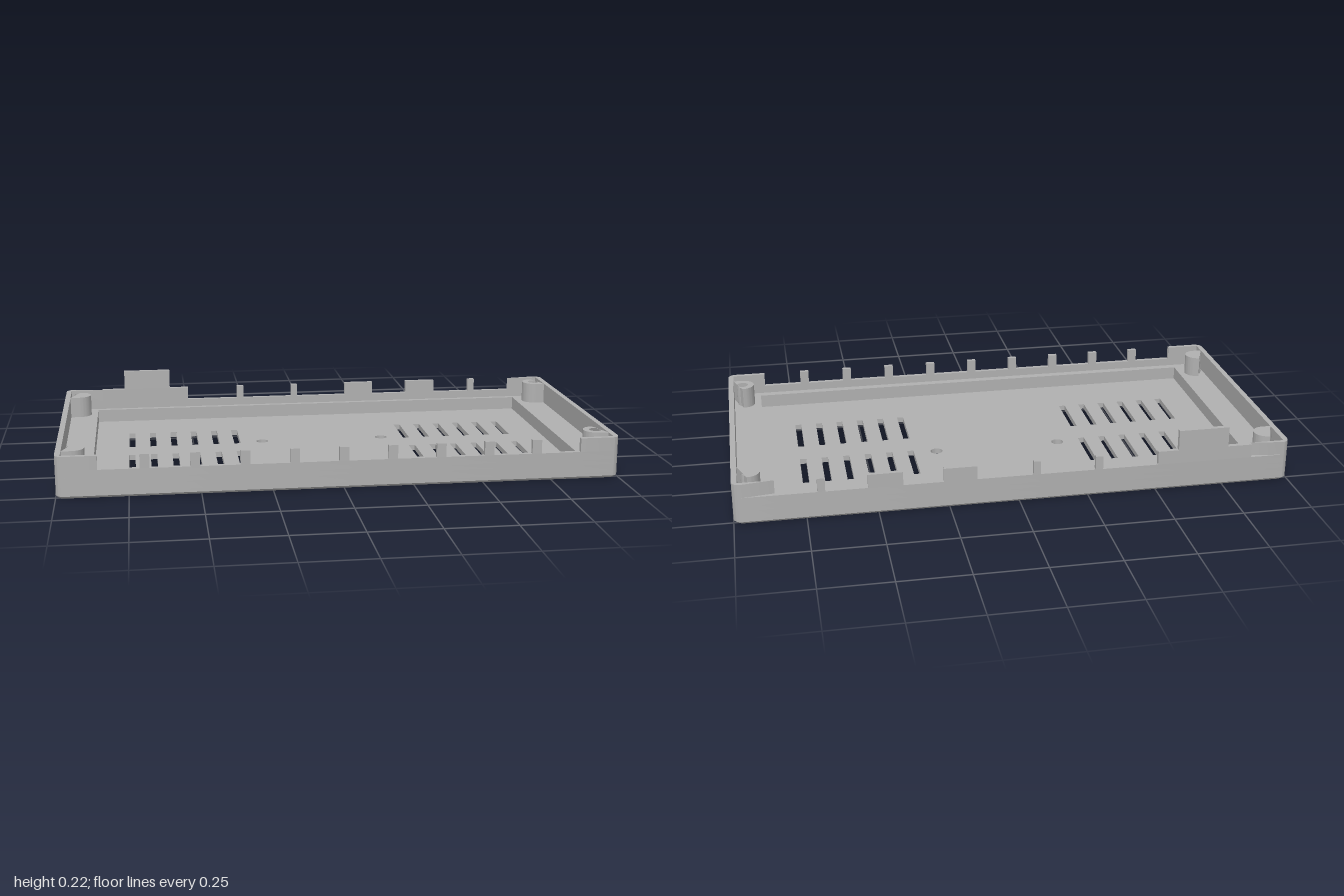
import * as THREE from 'three';
import { toCreasedNormals } from 'three/addons/utils/BufferGeometryUtils.js';

const X = 1, Z = 0.517, R = 0.03;      // outer half sizes and corner radius
const IX = 0.98, IZ = 0.5;             // inner wall faces
const FLOOR = 0.02, LEDGE = 0.07, SILL = 0.1, RIM = 0.15, WALL = Z - IZ;

export function createModel() {
  const group = new THREE.Group();
  group.name = 'enclosureTray';
  const grey = new THREE.MeshStandardMaterial({ color: 0xb0b0b0 });
  grey.name = 'grey plastic';

  const add = (name, geometry) => {
    const mesh = new THREE.Mesh(geometry, grey);
    mesh.name = name;
    group.add(mesh);
  };

  // Plan shape (x, z) raised from y0 to y1
  const slab = (shape, y0, y1) => {
    const g = new THREE.ExtrudeGeometry(shape, { depth: y1 - y0, bevelEnabled: false, curveSegments: 12 });
    g.rotateX(Math.PI / 2);
    g.translate(0, y1, 0);
    return g;
  };
  const smooth = (g) => toCreasedNormals(g, 0.6);

  const block = (name, x0, x1, y0, y1, z) => {
    const g = new THREE.BoxGeometry(x1 - x0, y1 - y0, WALL);
    g.translate((x0 + x1) / 2, (y0 + y1) / 2, z);
    add(name, g);
  };

  const outline = () => {
    const s = new THREE.Shape();
    s.absarc(X - R, Z - R, R, 0, Math.PI / 2);
    s.absarc(-X + R, Z - R, R, Math.PI / 2, Math.PI);
    s.absarc(-X + R, -Z + R, R, Math.PI, Math.PI * 1.5);
    s.absarc(X - R, -Z + R, R, Math.PI * 1.5, Math.PI * 2);
    s.closePath();
    return s;
  };
  const rect = (x0, z0, x1, z1) => new THREE.Path([
    new THREE.Vector2(x0, z0), new THREE.Vector2(x0, z1),
    new THREE.Vector2(x1, z1), new THREE.Vector2(x1, z0),
  ]);
  const circle = (x, z, r) => new THREE.Path().absarc(x, z, r, 0, Math.PI * 2, true);

  const screws = [], feet = [];
  for (const s of [1, -1]) {
    for (const z of [-0.415, 0.4]) screws.push([s, s * 0.945, z]);
    for (const z of [-0.27, 0, 0.26]) feet.push([s * 0.93, z]);
  }
  const recesses = () => [
    ...screws.map(([, x, z]) => circle(x, z, 0.035)),
    ...feet.map(([x, z]) => circle(x, z, 0.035)),
  ];
  const pocket = () => rect(-0.875, -0.48, 0.875, 0.47);

  // Floor with vents, two mounting holes and underside recesses
  const floor = () => {
    const s = outline();
    s.holes.push(...recesses());
    for (const side of [1, -1]) {
      s.holes.push(circle(side * 0.235, -0.085, 0.023));
      for (let i = 0; i < 6; i++) {
        const x = side * (0.333 + i * 0.081);
        s.holes.push(rect(x - 0.012, -0.27, x + 0.012, -0.065));
        s.holes.push(rect(x - 0.012, 0.05, x + 0.012, 0.26));
      }
    }
    return s;
  };
  add('floor', smooth(slab(floor(), 0.008, FLOOR)));

  // Lowest layer, its outer edge drawn in as a small chamfer
  const chamfer = slab(floor(), 0, 0.008);
  const p = chamfer.attributes.position;
  for (let i = 0; i < p.count; i++) {
    const x = p.getX(i), z = p.getZ(i);
    if (p.getY(i) < 0.004 && (Math.abs(x) > 0.9805 || Math.abs(z) > 0.48)) {
      p.setX(i, x * 0.993);
      p.setZ(i, z * 0.987);
    }
  }
  add('floorChamfer', smooth(chamfer));

  // Ledge around the pocket, closing the recesses from above
  const lower = outline();
  lower.holes.push(pocket(), ...recesses());
  add('ledgeLower', smooth(slab(lower, FLOOR, 0.05)));
  const upper = outline();
  upper.holes.push(pocket(), ...screws.map(([, x, z]) => circle(x, z, 0.022)));
  add('ledgeUpper', smooth(slab(upper, 0.05, LEDGE)));

  // Low wall all the way round
  const ring = outline();
  ring.holes.push(rect(-IX, -IZ, IX, IZ));
  add('lowWall', smooth(slab(ring, LEDGE, SILL)));

  // Full height end walls wrapping the corners
  for (const s of [1, -1]) {
    const e = new THREE.Shape();
    e.moveTo(s * 0.855, -Z);
    e.absarc(s * (X - R), -Z + R, R, -Math.PI / 2, s > 0 ? 0 : -Math.PI, s < 0);
    e.absarc(s * (X - R), Z - R, R, s > 0 ? 0 : Math.PI, Math.PI / 2, s < 0);
    e.lineTo(s * 0.855, Z);
    e.lineTo(s * 0.855, IZ);
    e.lineTo(s * IX, IZ);
    e.lineTo(s * IX, -IZ);
    e.lineTo(s * 0.855, -IZ);
    e.closePath();
    add(s > 0 ? 'leftEndWall' : 'rightEndWall', smooth(slab(e, SILL, RIM)));
  }

  // Corner screw bosses joined to the end walls
  for (const [s, x, z] of screws) {
    const b = new THREE.Shape();
    b.moveTo(s * IX, z - 0.045);
    b.absarc(x, z, 0.045, -Math.PI / 2, Math.PI / 2, s > 0);
    b.lineTo(s * IX, z + 0.045);
    b.closePath();
    b.holes.push(circle(x, z, 0.022));
    add('screwBoss', smooth(slab(b, LEDGE, RIM)));
  }

  // Front wall: evenly spaced teeth between the openings
  const mid = (Z + IZ) / 2;
  for (let i = -4; i <= 4; i++) {
    const x = i * 0.1735;
    block('frontTooth', x - 0.017, x + 0.017, SILL, RIM, mid);
  }

  // Back wall: uneven pieces and the tall tab
  const backPieces = [
    [-0.855, -0.505], [-0.302, -0.275], [-0.075, -0.05],
    [0.152, 0.27], [0.413, 0.535], [0.683, 0.71],
  ];
  for (const [a, b] of backPieces) block('backWallPiece', a, b, SILL, RIM, -mid);
  block('backTab', -0.765, -0.58, RIM, 0.225, -mid);

  return group;
}
